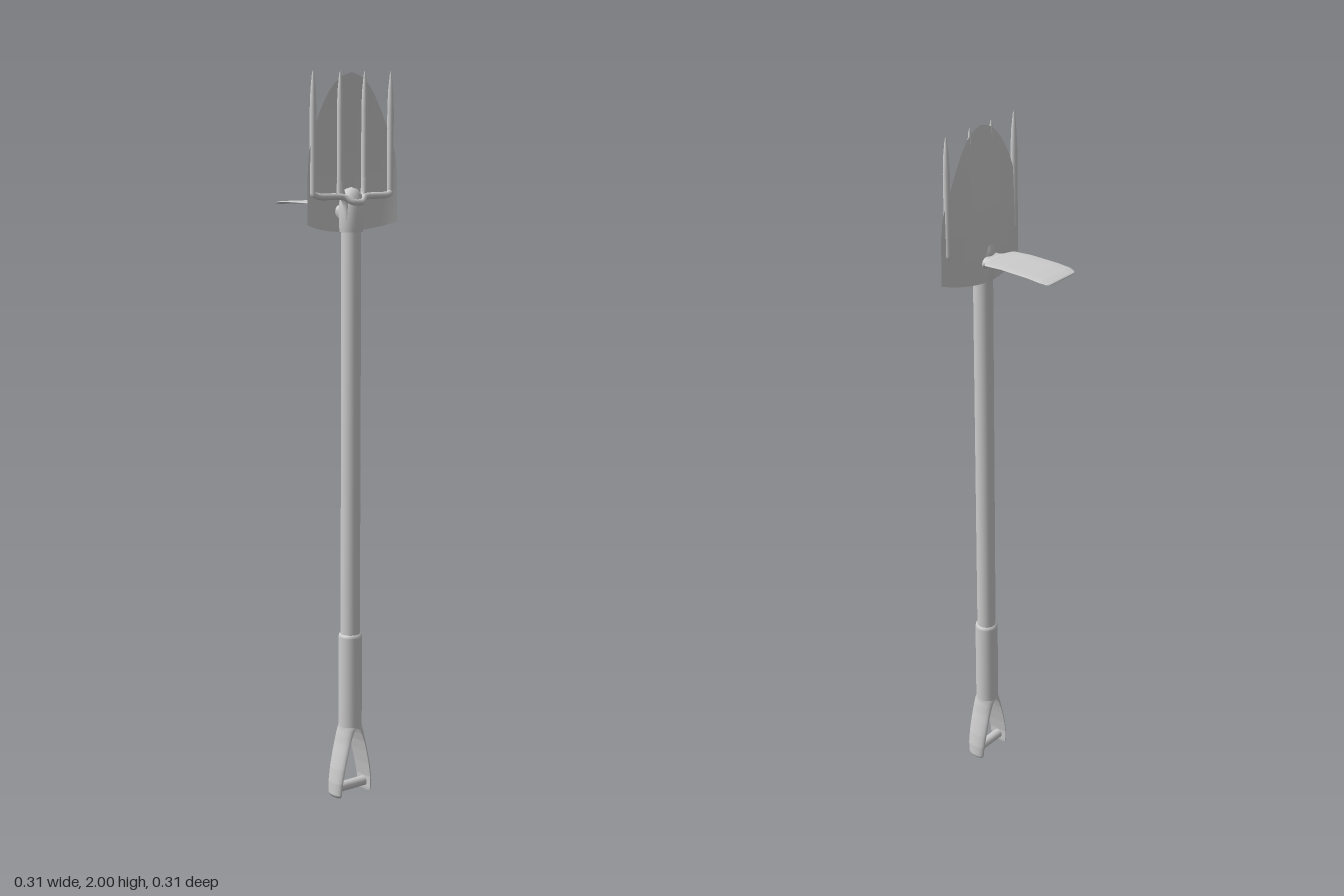
import * as THREE from 'three';
import { ParametricGeometry } from 'three/addons/geometries/ParametricGeometry.js';

const CX = 0.115; // x of the shaft axis
const material = new THREE.MeshStandardMaterial({ color: 0xcccccc, side: THREE.DoubleSide });

// Linear interpolation in a short table of [t, a, b, ...] rows
function sample(table, t) {
  let i = 0;
  while (i < table.length - 2 && t > table[i + 1][0]) i++;
  const p = table[i], q = table[i + 1];
  const k = THREE.MathUtils.clamp((t - p[0]) / (q[0] - p[0]), 0, 1);
  return p.map((a, j) => a + (q[j] - a) * k);
}

export function createModel() {
  const group = new THREE.Group();
  const add = (name, geometry, x = 0, y = 0, z = 0) => {
    const mesh = new THREE.Mesh(geometry, material);
    mesh.name = name;
    mesh.position.set(x, y, z);
    group.add(mesh);
    return mesh;
  };
  const lathe = (points, sides = 32) =>
    new THREE.LatheGeometry(points.map(([r, y]) => new THREE.Vector2(r, y)), sides);
  const surface = (f, nu, nv) => new ParametricGeometry(f, nu, nv);

  // Shaft and grip sleeve
  add('shaft', new THREE.CylinderGeometry(0.027, 0.027, 1.18, 32), CX, 1.04, 0);
  add('gripSleeve', lathe([[0.033, 0.2], [0.033, 0.455], [0.031, 0.463], [0.026, 0.465]]), CX);

  // D-shaped handle: each arm is half the sleeve, spreading outwards
  // rows: y, inner z, outer z, half depth in x
  const armRows = [
    [0, 0.052, 0.058, 0.020], [0.006, 0.051, 0.064, 0.027], [0.04, 0.050, 0.063, 0.030],
    [0.08, 0.043, 0.057, 0.032], [0.12, 0.034, 0.048, 0.033], [0.15, 0.026, 0.041, 0.033],
    [0.175, 0.017, 0.037, 0.033], [0.19, 0.010, 0.034, 0.033], [0.2, 0, 0.033, 0.033],
  ];
  for (const side of [1, -1]) {
    add('handleArm', surface((u, v, p) => {
      const [y, zi, zo, h] = sample(armRows, u * 0.2);
      const a = v * Math.PI;
      p.set(CX + h * Math.cos(a), y, side * (zi + (zo - zi) * Math.sin(a)));
    }, 40, 16));
    add('handleArmInside', surface((u, v, p) => {
      const [y, zi, , h] = sample(armRows, u * 0.2);
      p.set(CX + h * (1 - 2 * v), y, side * zi);
    }, 40, 2));
    const foot = add('handleArmFoot', new THREE.CircleGeometry(1, 16, 0, Math.PI), CX, 0.001, side * 0.052);
    foot.rotation.x = side * Math.PI / 2;
    foot.scale.set(0.02, 0.006, 1);
  }
  const bar = add('handleBar', new THREE.CylinderGeometry(0.014, 0.014, 0.106, 20), CX, 0.025, 0);
  bar.rotation.x = Math.PI / 2;

  // Spade blade, dished towards +x; rows: y, half width, x of the middle line
  const bladeRows = [
    [1.575, 0.156, 0.086], [1.65, 0.155, 0.087], [1.73, 0.154, 0.090], [1.78, 0.149, 0.094],
    [1.82, 0.138, 0.098], [1.86, 0.121, 0.102], [1.90, 0.103, 0.106], [1.94, 0.080, 0.111],
    [1.965, 0.060, 0.114], [1.985, 0.036, 0.116], [1.995, 0.005, 0.117],
  ];
  add('spadeBlade', surface((u, v, p) => {
    const [y, w, mid] = sample(bladeRows, 1.575 + 0.42 * u);
    const s = v * 2 - 1, z = w * s;
    const lift = 0.024 * s * s * Math.max(0, 1 - u * 6); // raised corners of the lower edge
    p.set(mid + (0.123 - mid) * (z / 0.155) ** 2, y + lift, z);
  }, 64, 32));

  // Socket swelling around the shaft end
  add('socket', lathe([
    [0.026, 1.575], [0.032, 1.576], [0.033, 1.62], [0.033, 1.65], [0.028, 1.675], [0.016, 1.69], [0, 1.695],
  ]), CX);

  // Fork: four pointed tines and a cross bar that bends over the socket
  for (const z of [-0.133, -0.042, 0.042, 0.133]) {
    add('forkTine', lathe([
      [0, 1.668], [0.007, 1.671], [0.009, 1.68], [0.009, 1.90], [0.007, 1.95], [0.003, 1.99], [0, 2],
    ], 14), 0.119, 0, z);
  }
  const barPath = new THREE.CatmullRomCurve3([
    [0.120, 1.679, -0.133], [0.123, 1.673, -0.12], [0.124, 1.671, -0.06], [0.128, 1.669, -0.036],
    [0.142, 1.656, -0.014], [0.143, 1.655, 0], [0.142, 1.656, 0.014],
    [0.128, 1.669, 0.036], [0.124, 1.671, 0.06], [0.123, 1.673, 0.12], [0.120, 1.679, 0.133],
  ].map((a) => new THREE.Vector3(...a)));
  add('forkBar', new THREE.TubeGeometry(barPath, 60, 0.009, 12));

  // Gussets from the inner tines down into the socket
  for (const side of [1, -1]) {
    const path = new THREE.CatmullRomCurve3([
      new THREE.Vector3(0.119, 1.72, side * 0.042), new THREE.Vector3(0.121, 1.68, side * 0.038),
      new THREE.Vector3(0.125, 1.65, side * 0.026), new THREE.Vector3(0.125, 1.61, side * 0.022),
    ]);
    add('tineRoot', new THREE.TubeGeometry(path, 20, 0.009, 12));
  }

  // Hoe blade with its neck; rows: x, half width, height, half thickness
  const hoeRows = [
    [-0.155, 0, 1.645, 0.001], [-0.1549, 0.048, 1.645, 0.002], [-0.149, 0.058, 1.646, 0.003],
    [-0.13, 0.064, 1.649, 0.003], [-0.09, 0.064, 1.651, 0.003], [0, 0.063, 1.650, 0.003],
    [0.055, 0.062, 1.645, 0.004], [0.061, 0.057, 1.644, 0.005], [0.067, 0.043, 1.642, 0.006],
    [0.077, 0.036, 1.637, 0.009], [0.088, 0.034, 1.63, 0.018], [0.1, 0.030, 1.625, 0.028],
  ];
  add('hoeBlade', surface((u, v, p) => {
    const [x, w, y, t] = sample(hoeRows, -0.155 + 0.255 * u);
    const c = Math.cos(v * Math.PI * 2), s = Math.sin(v * Math.PI * 2);
    p.set(x, y + t * s, w * Math.sign(c) * Math.sqrt(Math.abs(c)));
  }, 100, 32));

  return group;
}
